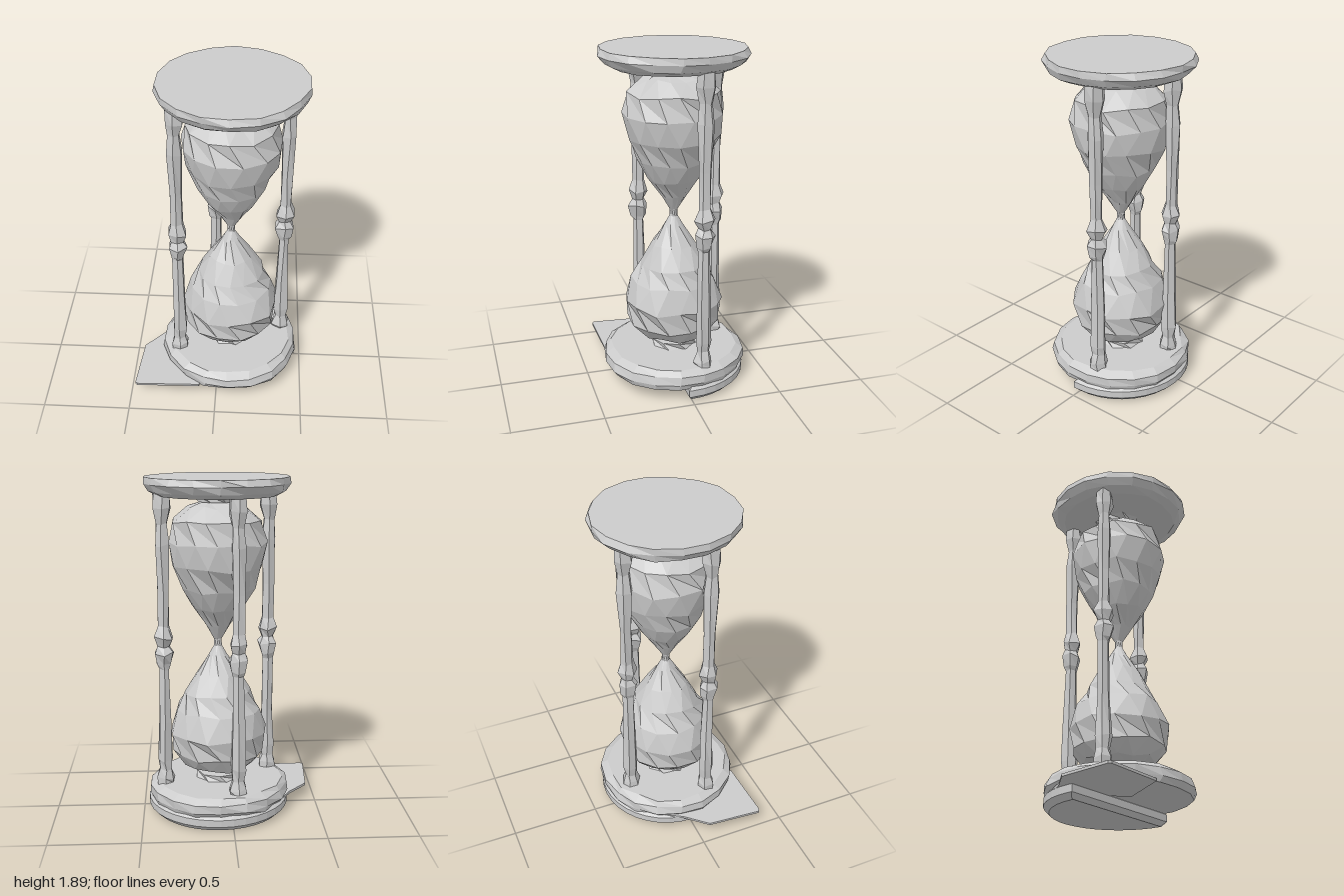
import * as THREE from 'three';

const AXIS_X = 0.07; // the glass and discs sit slightly off centre, beside the paper
const material = new THREE.MeshStandardMaterial({ color: 0xcccccc, flatShading: true, side: THREE.DoubleSide });

// Repeatable noise in -1..1; equal positions always give equal offsets.
function noise(x, y, z, seed) {
  const q = (v) => Math.round(v * 1000);
  const s = Math.sin(q(x) * 12.9898 + q(y) * 78.233 + q(z) * 37.719 + seed * 4.17) * 43758.5453;
  return (s - Math.floor(s)) * 2 - 1;
}

// Faceted turned part: alternate rows are staggered and vertices roughly chipped.
function turned(name, profile, sides, { rough = 0.01, roughY = 0, seed = 1, stagger = true } = {}) {
  const geo = new THREE.LatheGeometry(profile.map(([r, y]) => new THREE.Vector2(r, y)), sides);
  const p = geo.attributes.position;
  const rows = profile.length;
  for (let i = 0; i < p.count; i++) {
    const turn = stagger && (i % rows) % 2 ? Math.PI / sides : 0;
    const v = new THREE.Vector3().fromBufferAttribute(p, i).applyAxisAngle(new THREE.Vector3(0, 1, 0), turn);
    const r = Math.hypot(v.x, v.z);
    const n = (k) => noise(v.x, v.y, v.z, seed + k) * Math.min(1, r * 5);
    p.setXYZ(i, v.x + n(0) * rough, v.y + n(1) * roughY, v.z + n(2) * rough);
  }
  geo.computeVertexNormals();
  const mesh = new THREE.Mesh(geo, material);
  mesh.name = name;
  return mesh;
}

// Flat plate from an outline of [x, z] points, bottom at y.
function plate(name, shape, y, depth, bevel = 0) {
  const geo = new THREE.ExtrudeGeometry(shape, {
    depth: depth - 2 * bevel, curveSegments: 9, bevelEnabled: bevel > 0,
    bevelThickness: bevel, bevelSize: bevel, bevelOffset: -bevel, bevelSegments: 1,
  });
  geo.rotateX(-Math.PI / 2).translate(0, y + bevel, 0);
  const mesh = new THREE.Mesh(geo, material);
  mesh.name = name;
  return mesh;
}

export function createModel() {
  const model = new THREE.Group();
  model.name = 'hourglass';
  const onAxis = (mesh) => {
    mesh.position.x = AXIS_X;
    model.add(mesh);
  };

  // Top and bottom wooden discs
  onAxis(turned('topDisc', [[0, 1.805], [0.33, 1.805], [0.375, 1.83], [0.4, 1.87], [0.393, 1.905], [0, 1.905]],
    18, { rough: 0.008, seed: 3, stagger: false }));
  onAxis(turned('baseDisc', [[0, 0.088], [0.385, 0.088], [0.402, 0.12], [0.395, 0.165], [0.36, 0.193], [0, 0.193]],
    18, { rough: 0.01, seed: 9, stagger: false }));

  // Deeper back half of the base, stepping down behind the paper
  const half = new THREE.Shape();
  half.moveTo(0.4, -0.02);
  half.lineTo(0.4, 0);
  half.absarc(0, 0, 0.4, 0, Math.PI, false);
  half.lineTo(-0.4, -0.02);
  half.closePath();
  onAxis(plate('baseBackHalf', half, 0.015, 0.1, 0.03));

  // Sheet of paper caught under the base
  const sheet = [[-0.475, 0.37], [-0.46, 0.38], [-0.1, 0.37], [0.05, 0.1], [-0.2, -0.16], [-0.28, -0.16], [-0.34, -0.06], [-0.45, 0.06]];
  model.add(plate('paperSheet', new THREE.Shape(sheet.map(([x, z]) => new THREE.Vector2(x, -z))), 0.086, 0.014));

  // Glass: two bulbs meeting at a thin neck
  const glass = [
    [0, 0.245], [0.1, 0.25], [0.2, 0.285], [0.26, 0.36], [0.275, 0.48], [0.235, 0.61], [0.185, 0.7],
    [0.12, 0.81], [0.05, 0.92], [0.022, 0.97], [0.022, 1.01], [0.07, 1.09], [0.14, 1.19],
    [0.2, 1.3], [0.25, 1.42], [0.275, 1.55], [0.25, 1.67], [0.165, 1.745], [0.07, 1.775], [0, 1.78],
  ];
  onAxis(turned('glassBulbs', glass, 13, { rough: 0.009, roughY: 0.012, seed: 5 }));

  // Collars holding the glass
  onAxis(turned('lowerCollar', [[0, 0.18], [0.14, 0.18], [0.12, 0.225], [0, 0.23]], 8, { seed: 7 }));
  onAxis(turned('upperCollar', [[0, 1.765], [0.11, 1.77], [0.15, 1.82], [0, 1.82]], 8, { seed: 8 }));

  // Three turned posts with feet, a middle knob and a flared head
  const post = [
    [0.05, 0.18], [0.052, 0.22], [0.036, 0.27], [0.044, 0.33], [0.037, 0.55], [0.032, 0.86], [0.042, 0.89],
    [0.058, 0.95], [0.036, 0.99], [0.056, 1.04], [0.034, 1.1], [0.035, 1.3], [0.043, 1.55],
    [0.034, 1.66], [0.052, 1.74], [0.046, 1.82],
  ];
  [['rightPost', -0.222, 0.13], ['backPost', -0.03, -0.27], ['leftPost', 0.372, -0.085]].forEach(([name, x, z], i) => {
    const mesh = turned(name, post, 6, { rough: 0.025, roughY: 0.04, seed: 20 + i * 5, stagger: false });
    mesh.position.set(x, 0, z);
    mesh.rotation.y = i * 2.1;
    model.add(mesh);
  });

  return model;
}
